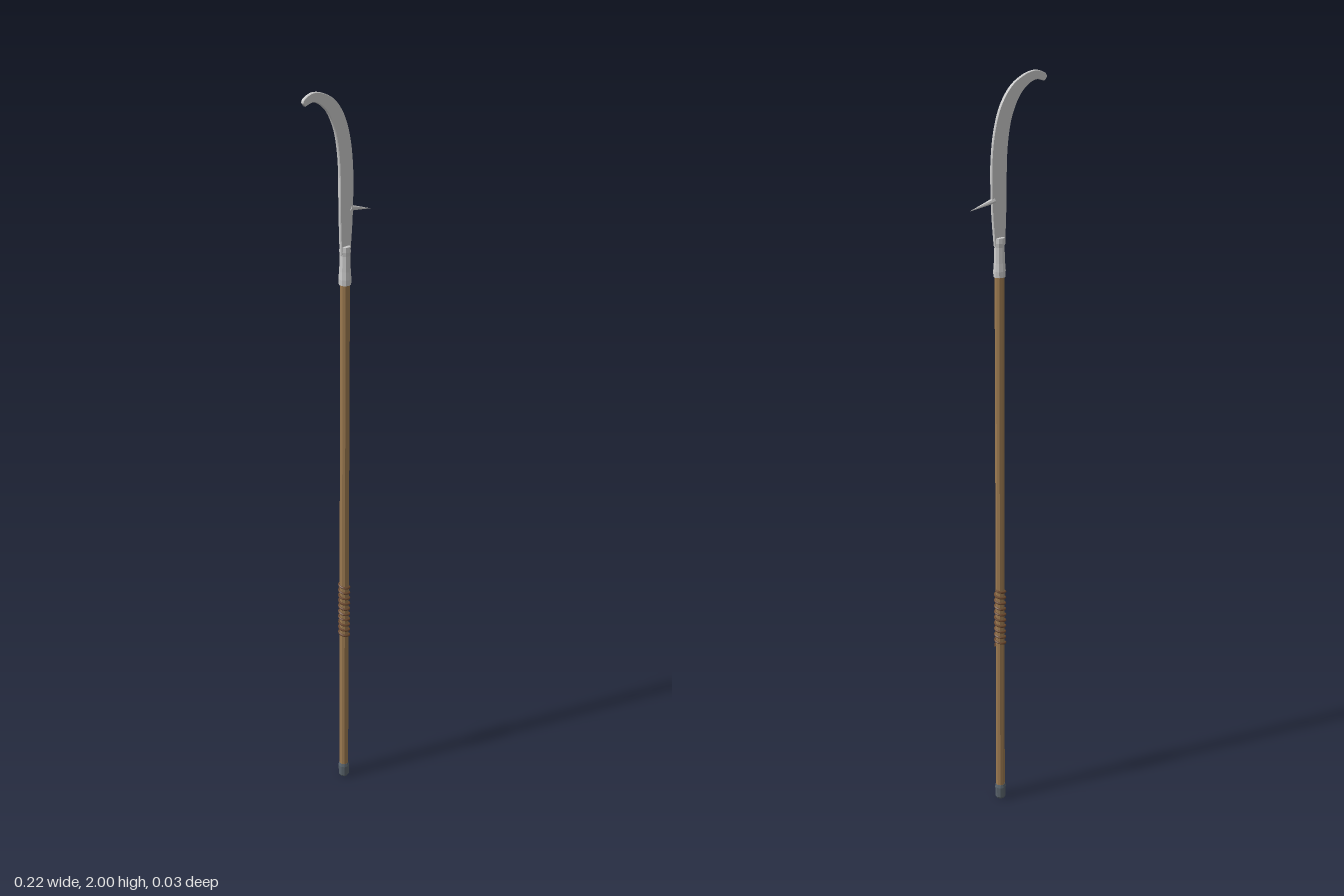
import * as THREE from 'three';

const AXIS = 0.023; // x of the pole's axis

function part(name, geometry, color, flat = false) {
  const material = new THREE.MeshStandardMaterial({ color, flatShading: flat });
  const mesh = new THREE.Mesh(geometry, material);
  mesh.name = name;
  return mesh;
}

// Turned part from [radius, height] pairs
function turned(name, profile, color, sides = 10) {
  const points = profile.map(([r, y]) => new THREE.Vector2(r, y));
  const mesh = part(name, new THREE.LatheGeometry(points, sides), color, true);
  mesh.position.x = AXIS;
  return mesh;
}

function vectors(pairs) {
  return pairs.map(([x, y]) => new THREE.Vector2(x, y));
}

export function createModel() {
  const model = new THREE.Group();
  model.name = 'hookedPolearm';
  const steel = 0xcccccc, wood = 0x9c7a50, leather = 0x6e4a30, iron = 0x59636b;

  // Wooden pole and metal foot
  model.add(turned('pole', [[0, 0.02], [0.0125, 0.02], [0.0125, 1.54], [0, 1.54]], wood));
  model.add(turned('footCap',
    [[0, 0], [0.011, 0], [0.0145, 0.006], [0.0155, 0.036], [0.013, 0.045], [0.012, 0.045]], iron));

  // Cord wound around the grip
  const turns = 10;
  const coil = [];
  for (let i = 0; i <= turns * 12; i++) {
    const a = (i / 12) * Math.PI * 2;
    coil.push(new THREE.Vector3(
      AXIS + 0.0135 * Math.cos(a), 0.482 + 0.17 * i / (turns * 12), 0.0135 * Math.sin(a)));
  }
  const cord = new THREE.CatmullRomCurve3(coil);
  model.add(part('gripCord', new THREE.TubeGeometry(cord, turns * 16, 0.0033, 6), leather));

  // Socket joining the blade to the pole
  model.add(turned('socket',
    [[0.012, 1.51], [0.0155, 1.51], [0.0162, 1.525], [0.0145, 1.545],
      [0.013, 1.585], [0.0145, 1.595], [0.0135, 1.608], [0, 1.61]], steel));

  // Curved blade: back edge up, round the tip, inner edge down
  const outline = new THREE.Shape();
  outline.moveTo(0.037, 1.59);
  outline.splineThru(vectors([[0.043, 1.66], [0.0455, 1.72], [0.0455, 1.79], [0.038, 1.86],
    [0.021, 1.92], [-0.008, 1.965], [-0.045, 1.99], [-0.08, 1.9985], [-0.105, 1.991],
    [-0.1115, 1.982], [-0.105, 1.974]]));
  outline.splineThru(vectors([[-0.082, 1.979], [-0.058, 1.969], [-0.033, 1.944],
    [-0.012, 1.9], [-0.001, 1.85], [0.004, 1.79], [0.005, 1.7], [0.009, 1.59]]));
  const blade = new THREE.ExtrudeGeometry(outline, {
    depth: 0.005, curveSegments: 36, bevelEnabled: true,
    bevelThickness: 0.002, bevelSize: 0.0015, bevelOffset: 0, bevelSegments: 1,
  });
  blade.translate(0, 0, -0.0025);
  model.add(part('blade', blade, steel, true));

  // Spike on the back of the blade
  const base = new THREE.Vector3(0.038, 1.701, 0), tip = new THREE.Vector3(0.11, 1.683, 0);
  const spike = part('backSpike',
    new THREE.ConeGeometry(0.0075, base.distanceTo(tip), 8), steel, true);
  spike.position.copy(base).lerp(tip, 0.5);
  spike.quaternion.setFromUnitVectors(
    new THREE.Vector3(0, 1, 0), tip.clone().sub(base).normalize());
  model.add(spike);

  return model;
}
